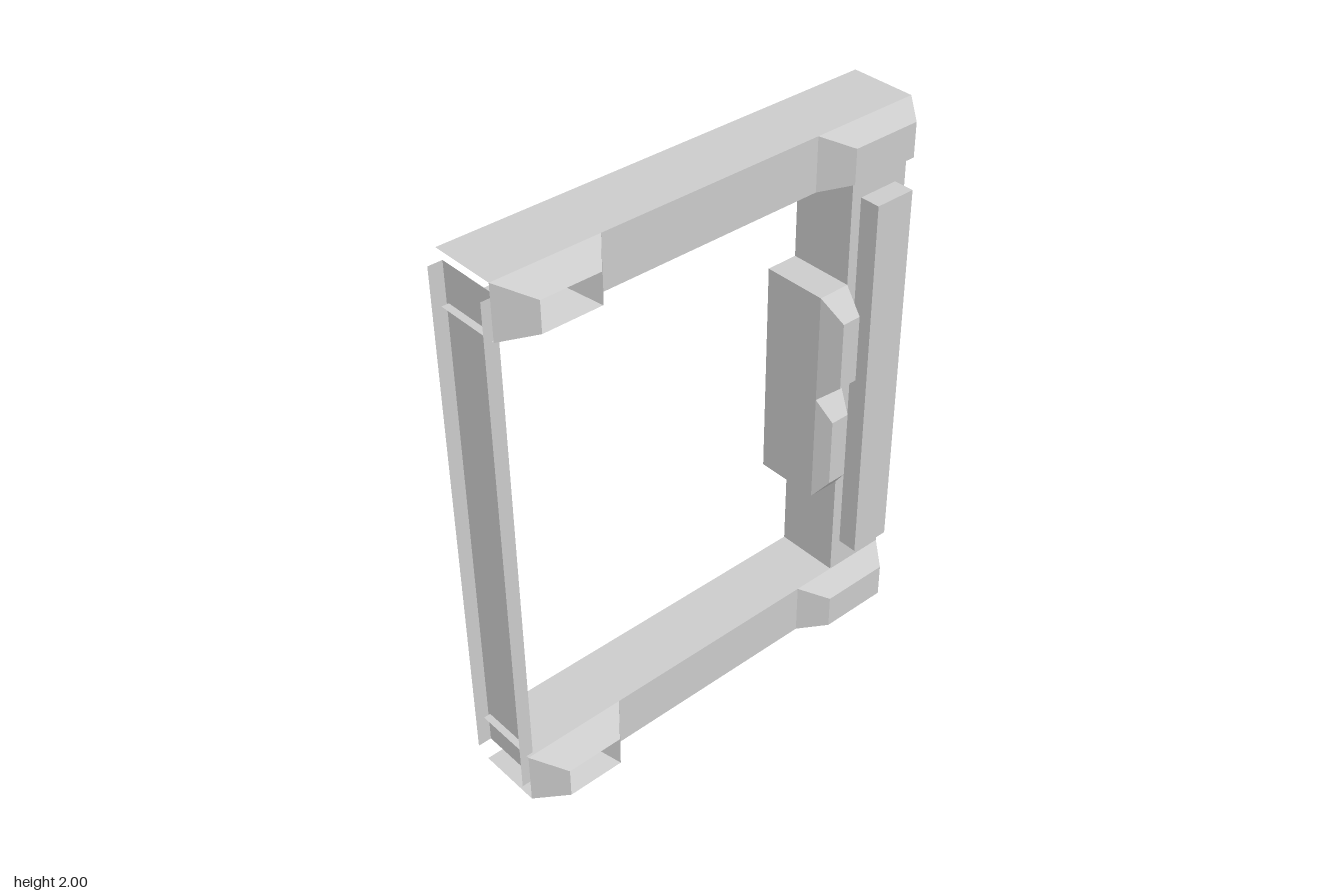
import * as THREE from 'three';

const material = new THREE.MeshStandardMaterial({ color: 0xcccccc, flatShading: true, side: THREE.DoubleSide });

// Flat mesh from a list of four-cornered faces
function sheetMesh(name, quads) {
  const points = quads.flatMap(([a, b, c, d]) => [a, b, c, a, c, d]);
  const geometry = new THREE.BufferGeometry();
  geometry.setAttribute('position', new THREE.Float32BufferAttribute(points.flat(), 3));
  geometry.computeVertexNormals();
  const mesh = new THREE.Mesh(geometry, material);
  mesh.name = name;
  return mesh;
}

// Rectangles with one axis held constant, facing the given sign of that axis
const faceX = (x, y0, y1, z0, z1, s = 1) => turn([[x, y0, z1], [x, y0, z0], [x, y1, z0], [x, y1, z1]], s);
const faceY = (y, x0, x1, z0, z1, s = 1) => turn([[x0, y, z1], [x1, y, z1], [x1, y, z0], [x0, y, z0]], s);
const faceZ = (z, x0, x1, y0, y1, s = 1) => turn([[x0, y0, z], [x1, y0, z], [x1, y1, z], [x0, y1, z]], s);
const turn = (quad, s) => (s > 0 ? quad : quad.reverse());

// Rectangular rings [x, y0, y1, z0, z1] joined in order, last one capped
function steppedBlock(name, rings) {
  const loops = rings.map((r) => faceX(...r));
  const quads = [loops[loops.length - 1]];
  for (let k = 0; k + 1 < loops.length; k++) {
    const a = loops[k], b = loops[k + 1];
    for (let i = 0; i < 4; i++) {
      const j = (i + 1) % 4;
      quads.push([a[i], a[j], b[j], b[i]]);
    }
  }
  return sheetMesh(name, quads);
}

export function createModel() {
  const model = new THREE.Group();
  model.name = 'frame';
  const inner = -0.17, outer = 0.07, back = -0.82, front = 0.8;
  const postFront = -0.58;

  // Top and bottom rails, open towards -x and at the front end
  for (const [name, y0, y1] of [['bottom', 0, 0.195], ['top', 1.81, 2]]) {
    const isTop = name === 'top';
    const ySheet = isTop ? y1 : y0, yInside = isTop ? y0 : y1, s = isTop ? 1 : -1;
    model.add(sheetMesh(name + 'Rail', [
      faceY(ySheet, inner, outer, back, front, s),
      faceY(yInside, inner, outer, postFront, front, -s),
      faceX(outer, y0, y1, -0.415, 0.42),
      faceZ(back, inner, outer, y0, y1, -1),
    ]));
    // Tapered corner blocks: the front one has a pocket, the back one is plain
    model.add(steppedBlock(name + 'FrontCorner', [
      [outer, y0, y1, 0.42, front],
      [0.175, y0 + 0.043, y1 - 0.04, 0.505, 0.715],
      [0.06, y0 + 0.065, y1 - 0.06, 0.545, 0.685],
    ]));
    model.add(steppedBlock(name + 'BackCorner', [
      [outer, y0, y1, back, -0.415],
      [0.16, y0 + 0.035, y1 - 0.033, -0.75, -0.49],
    ]));
  }

  // Back post, its inner wall interrupted where the grip joins
  const gripLow = 0.6, gripMid = 1.01, gripHigh = 1.41, gripFront = -0.46;
  model.add(sheetMesh('backPost', [
    faceX(outer, 0.195, 1.81, back, postFront),
    faceZ(back, inner, outer, 0.195, 1.81, -1),
    faceZ(postFront, inner, outer, 0.195, gripLow),
    faceZ(postFront, inner, outer, gripHigh, 1.81),
  ]));

  // Raised strip on the post
  model.add(steppedBlock('postStrip', [
    [outer, 0.305, 1.715, -0.775, -0.62],
    [0.145, 0.305, 1.715, -0.775, -0.62],
  ]));

  // Grip body and its two bevelled buttons
  model.add(sheetMesh('grip', [
    faceZ(gripFront, inner, outer, gripLow, gripHigh),
    faceY(gripHigh, inner, outer, postFront, gripFront),
    faceY(gripLow, inner, outer, postFront, gripFront, -1),
  ]));
  model.add(steppedBlock('lowerButton', [
    [outer, gripLow, gripMid, postFront, gripFront],
    [0.13, 0.68, 0.935, -0.555, -0.483],
  ]));
  model.add(steppedBlock('upperButton', [
    [outer, gripMid, gripHigh, postFront, gripFront],
    [0.155, 1.09, 1.34, -0.555, -0.483],
  ]));

  // Front channel, open towards +z
  model.add(sheetMesh('frontChannel', [
    faceZ(0.775, -0.18, 0.06, 0.07, 1.945),
    faceX(-0.18, 0.07, 1.945, 0.775, 0.825, -1),
    faceX(0.06, 0.07, 1.945, 0.775, 0.825),
  ]));

  return model;
}
